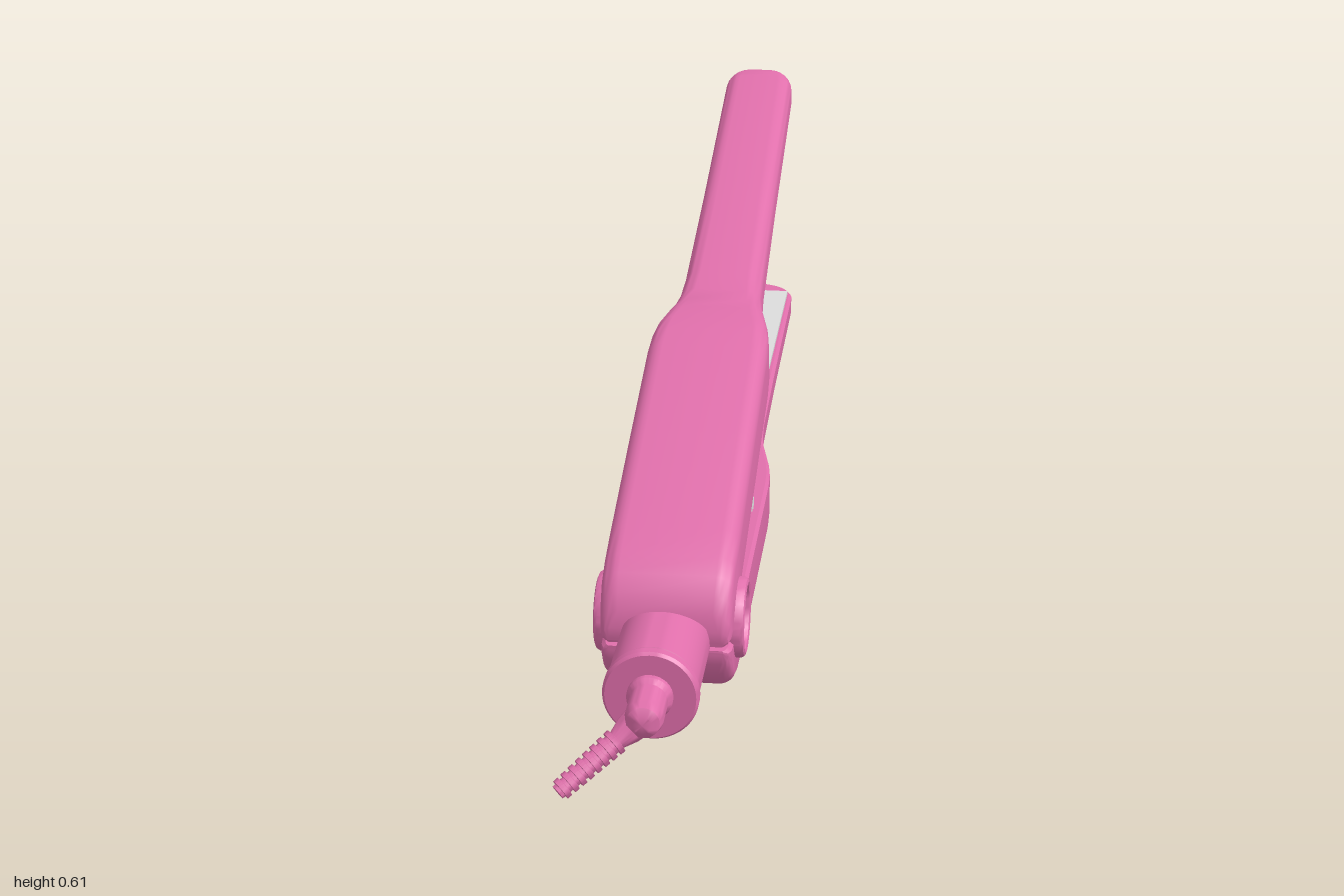
import * as THREE from 'three';
import { toCreasedNormals } from 'three/addons/utils/BufferGeometryUtils.js';

const pink = new THREE.MeshStandardMaterial({ color: 0xe06fab });
pink.name = 'pinkPlastic';
const silver = new THREE.MeshStandardMaterial({ color: 0xdcdcdc });
silver.name = 'silverMetal';

const HINGE_Y = 0.12, HINGE_Z = 0.575;

function part(name, geo, mat, parent) {
  const mesh = new THREE.Mesh(geo, mat);
  mesh.name = name;
  parent.add(mesh);
  return mesh;
}

function lathe(points, segments = 40) {
  return new THREE.LatheGeometry(points.map(p => new THREE.Vector2(p[0], p[1])), segments);
}

// Cross-section: flat inner face at y = 0, rounded outer corners at y = t
function section(hw, t) {
  const b = Math.min(0.006, hw * 0.3, t * 0.2);
  const r = Math.min(0.028, hw * 0.8, t * 0.6);
  const half = [[hw - b, 0], [hw, b]];
  for (let i = 0; i <= 6; i++) {
    const a = (i / 6) * Math.PI / 2;
    half.push([hw - r + r * Math.cos(a), t - r + r * Math.sin(a)]);
  }
  return half.concat(half.slice().reverse().map(([x, y]) => [-x, y]));
}

// Arm body: cross-sections lofted from the hinge end to the rounded tip
function armGeometry() {
  const stations = [ // z from hinge, half width, thickness
    [0.096, 0.09, 0.008], [0.092, 0.098, 0.026], [0.08, 0.102, 0.05], [0.062, 0.103, 0.072],
    [0.035, 0.104, 0.09], [0, 0.104, 0.1], [-0.06, 0.104, 0.104], [-0.3, 0.104, 0.107],
    [-0.54, 0.104, 0.107], [-0.59, 0.102, 0.105], [-0.63, 0.097, 0.1], [-0.68, 0.087, 0.088],
    [-0.72, 0.079, 0.077], [-0.76, 0.074, 0.069], [-0.82, 0.071, 0.065], [-1.1, 0.068, 0.064]];
  for (let i = 0; i <= 10; i++) {
    const a = (i / 10) * Math.PI * 0.49, s = Math.sin(a);
    stations.push([-1.51 - 0.066 * s, 0.066 * Math.cos(a), 0.063 - 0.027 * s ** 4]);
  }
  const pos = [], index = [];
  const rings = stations.map(([z, hw, t]) => section(hw, t).map(([x, y]) => [x, y, z]));
  const n = rings[0].length;
  rings.forEach(ring => ring.forEach(p => pos.push(...p)));
  for (let i = 0; i < rings.length - 1; i++) {
    for (let j = 0; j < n; j++) {
      const k = (j + 1) % n;
      const a = i * n + j, b = i * n + k, c = a + n, d = b + n;
      index.push(a, c, b, b, c, d);
    }
  }
  const last = (rings.length - 1) * n;
  for (let j = 1; j < n - 1; j++) {
    index.push(0, j, j + 1, last, last + j + 1, last + j);
  }
  const geo = new THREE.BufferGeometry();
  geo.setAttribute('position', new THREE.Float32BufferAttribute(pos, 3));
  geo.setIndex(index);
  return toCreasedNormals(geo, 0.7);
}

// One arm with its heating plate; the inner face points to local -y
function makeArm(name, gap) {
  const arm = new THREE.Group();
  arm.name = name;
  arm.position.set(0, HINGE_Y, HINGE_Z);
  part(name + 'Body', armGeometry(), pink, arm).position.y = gap;
  const plate = part(name + 'HeatingPlate', new THREE.BoxGeometry(0.114, 0.009, 0.665), silver, arm);
  plate.position.set(0, gap - 0.0035, -1.183);
  return arm;
}

export function createModel() {
  const model = new THREE.Group();
  model.name = 'hairStraightener';
  const body = new THREE.Group();
  body.name = 'body';
  body.position.x = 0.003;
  model.add(body);

  const upper = makeArm('upperArm', 0.022);
  upper.rotation.x = 0.267;
  const lower = makeArm('lowerArm', 0.012);
  lower.rotation.z = Math.PI;
  body.add(upper, lower);

  // Hinge pin and dished caps on both sides
  const pin = new THREE.CylinderGeometry(0.058, 0.058, 0.2, 40).rotateZ(Math.PI / 2);
  part('hingePin', pin, pink, body).position.set(0, HINGE_Y, HINGE_Z);
  for (const side of [1, -1]) {
    const cap = lathe([[0, 0.09], [0.064, 0.09], [0.064, 0.112], [0.061, 0.117], [0.056, 0.119],
      [0.051, 0.117], [0.047, 0.108], [0, 0.106]]).rotateZ(-side * Math.PI / 2);
    part(side > 0 ? 'leftHingeCap' : 'rightHingeCap', toCreasedNormals(cap, 0.6), pink, body)
      .position.set(0, HINGE_Y, HINGE_Z);
  }

  // Switch housing on the lower arm
  const pill = new THREE.Shape();
  pill.absarc(0, 0.125, 0.044, 0, Math.PI);
  pill.absarc(0, -0.125, 0.044, Math.PI, Math.PI * 2);
  const pod = new THREE.ExtrudeGeometry(pill, { depth: 0.02, bevelEnabled: true,
    bevelThickness: 0.009, bevelSize: 0.009, bevelSegments: 3, curveSegments: 16 });
  pod.rotateX(-Math.PI / 2);
  part('switchHousing', toCreasedNormals(pod, 0.5), pink, body).position.set(0, 0.107, 0.146);

  // Serrated wheel reaching out of the housing on both sides
  const gear = new THREE.Shape();
  for (let i = 0; i < 112; i++) {
    const a = (i / 112) * Math.PI * 2, r = i % 2 ? 0.083 : 0.088;
    gear[i ? 'lineTo' : 'moveTo'](r * Math.cos(a), r * Math.sin(a));
  }
  const wheel = new THREE.ExtrudeGeometry(gear, { depth: 0.018, bevelEnabled: false });
  wheel.rotateX(-Math.PI / 2);
  part('temperatureWheel', wheel, silver, body).position.set(0, 0.11, 0.148);

  // Collar at the hinge end, its upper half cut back to clear the opened arm
  const collar = lathe([[0, 0.655], [0.07, 0.655], [0.07, 0.822], [0.067, 0.824], [0.067, 0.828],
    [0.073, 0.83], [0.073, 0.843], [0.069, 0.848], [0, 0.848]], 48).rotateX(Math.PI / 2);
  const cp = collar.attributes.position;
  for (let i = 0; i < cp.count; i++) {
    if (cp.getZ(i) < 0.7) cp.setZ(i, cp.getZ(i) + Math.max(0, cp.getY(i)) * 0.75);
  }
  part('cableCollar', toCreasedNormals(collar, 0.6), pink, body).position.y = HINGE_Y;

  // Swivel knob
  const knob = lathe([[0, 0.84], [0.035, 0.84], [0.035, 0.856], [0.029, 0.865], [0.029, 0.915],
    [0.025, 0.93], [0.014, 0.938], [0, 0.94]], 32).rotateX(Math.PI / 2);
  part('cableKnob', toCreasedNormals(knob, 0.6), pink, body).position.y = HINGE_Y + 0.002;

  // Ribbed strain relief bent down to one side
  const start = new THREE.Vector3(0, 0.116, 0.9), end = new THREE.Vector3(-0.115, 0.031, 0.985);
  const dir = end.clone().sub(start), length = dir.length(), ribs = 8, first = 0.052;
  const profile = [[0, 0], [0.026, 0], [0.022, 0.03], [0.015, first]];
  const step = (length - first) / ribs;
  for (let i = 0; i < ribs; i++) {
    const y = first + i * step, r = 0.02 - 0.004 * i / ribs;
    profile.push([r, y + 0.001], [r, y + step * 0.62], [r - 0.005, y + step * 0.64], [r - 0.005, y + step]);
  }
  profile.push([0, length]);
  const relief = part('strainRelief', toCreasedNormals(lathe(profile, 24), 0.6), pink, model);
  relief.position.copy(start);
  relief.quaternion.setFromUnitVectors(new THREE.Vector3(0, 1, 0), dir.normalize());

  return model;
}
